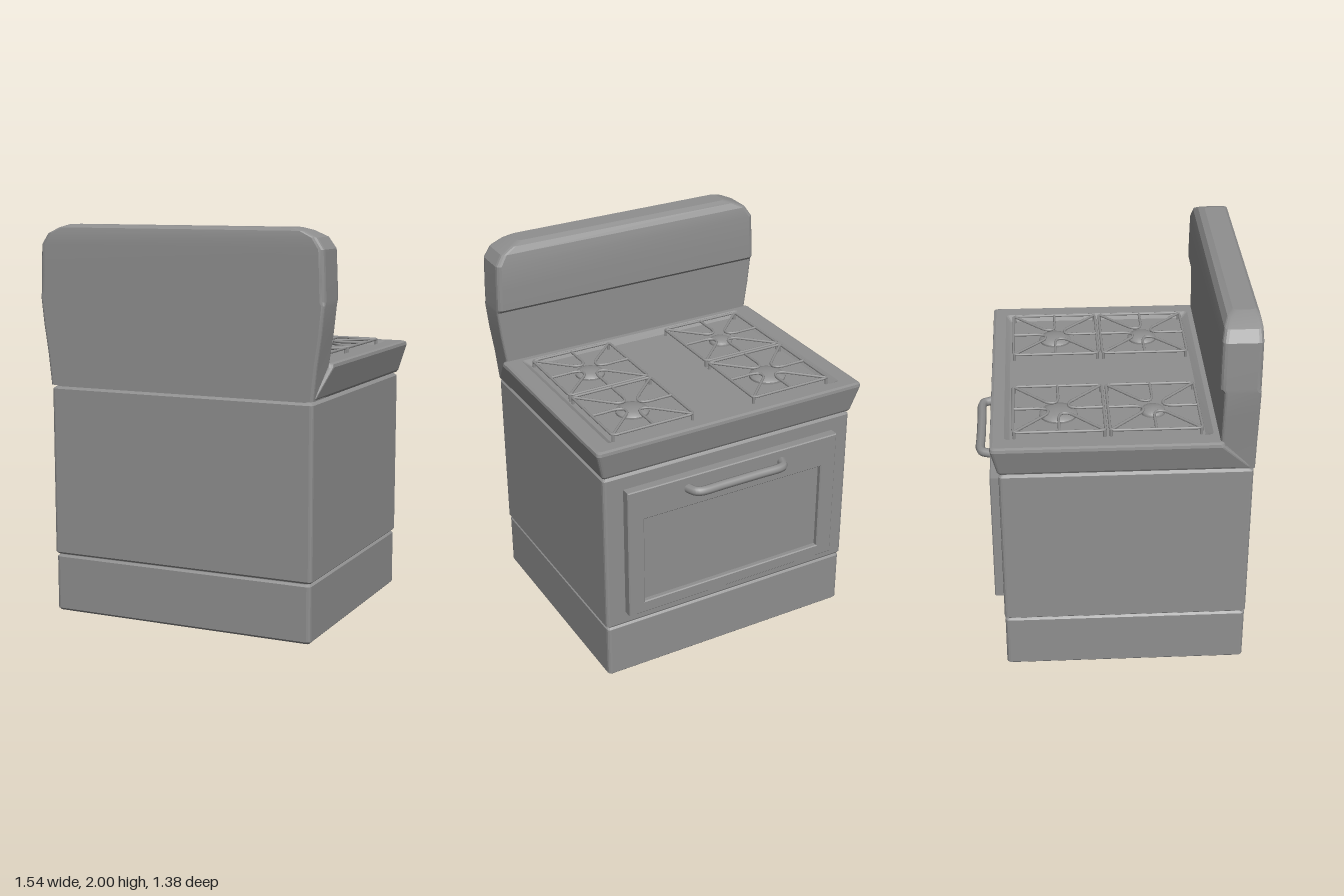
import * as THREE from 'three';
import { mergeGeometries, toCreasedNormals } from 'three/addons/utils/BufferGeometryUtils.js';

const enamel = new THREE.MeshStandardMaterial({ color: 0x8f8f8f });

function add(parent, name, geometry) {
  const mesh = new THREE.Mesh(geometry, enamel);
  mesh.name = name;
  parent.add(mesh);
  return mesh;
}

// Stack of rounded rectangles: each row is [y, half width, z min, z max, corner radius]
function loft(rows) {
  const seg = 3, n = 4 * (seg + 1), pos = [], idx = [];
  for (const [y, w, z0, z1, r] of rows) {
    for (let c = 0; c < 4; c++) {
      const cx = (c === 0 || c === 3 ? 1 : -1) * (w - r);
      const cz = c < 2 ? z1 - r : z0 + r;
      for (let s = 0; s <= seg; s++) {
        const a = (c + s / seg) * Math.PI / 2;
        pos.push(cx + r * Math.cos(a), y, cz + r * Math.sin(a));
      }
    }
  }
  for (let i = 0; i < rows.length - 1; i++) {
    for (let j = 0; j < n; j++) {
      const a = i * n + j, b = i * n + (j + 1) % n;
      idx.push(a, a + n, b, b, a + n, b + n);
    }
  }
  // Caps
  const last = (rows.length - 1) * n;
  for (let j = 1; j < n - 1; j++) {
    idx.push(0, j, j + 1, last, last + j + 1, last + j);
  }
  const g = new THREE.BufferGeometry();
  g.setAttribute('position', new THREE.Float32BufferAttribute(pos, 3));
  g.setIndex(idx);
  return toCreasedNormals(g, 0.21);
}

function rectPath(path, x, y0, y1) {
  path.moveTo(-x, y0);
  path.lineTo(x, y0);
  path.lineTo(x, y1);
  path.lineTo(-x, y1);
  path.closePath();
  return path;
}

function tube(points, radius, segments, closed = false) {
  const curve = new THREE.CatmullRomCurve3(points.map(p => new THREE.Vector3(...p)), closed, 'centripetal');
  return new THREE.TubeGeometry(curve, segments, radius, 8, closed);
}

// Square wire grate with four hairpin fingers and corner feet
function grateGeometry() {
  const h = 0.225, k = h - 0.015, parts = [];
  const frame = [];
  const corners = [[1, 1], [-1, 1], [-1, -1], [1, -1]];
  corners.forEach(([x, z], i) => {
    const a = [x * h, 0, z * k], b = [x * k, 0, z * h];
    const a2 = [x * h, 0, z * k * 0.9], b2 = [x * k * 0.9, 0, z * h];
    frame.push(...(i % 2 ? [b2, b, a, a2] : [a2, a, b, b2]));
    const foot = new THREE.CylinderGeometry(0.008, 0.008, 0.04, 8);
    foot.translate(x * (h - 0.005), -0.018, z * (h - 0.005));
    parts.push(foot);
  });
  parts.push(tube(frame, 0.007, 96, true));
  for (let i = 0; i < 4; i++) {
    const finger = tube([
      [0, 0, -h], [0, 0, -0.15], [0, 0, -0.09], [-0.015, 0, -0.055],
      [-0.05, 0, -0.055], [-0.085, 0, -0.085], [-0.15, 0, -0.15], [-h + 0.005, 0, -h + 0.005],
    ], 0.007, 36);
    finger.rotateY(i * Math.PI / 2);
    parts.push(finger);
  }
  return mergeGeometries(parts);
}

export function createModel() {
  const stove = new THREE.Group();
  stove.name = 'stove';

  // Plinth, oven body and the recessed seams above them
  add(stove, 'plinth', loft([
    [0, 0.698, -0.548, 0.668, 0.012], [0.012, 0.71, -0.56, 0.68, 0.02],
    [0.287, 0.71, -0.56, 0.68, 0.02], [0.297, 0.7, -0.55, 0.67, 0.02],
  ]));
  add(stove, 'plinthSeam', loft([
    [0.29, 0.695, -0.545, 0.665, 0.02], [0.312, 0.695, -0.545, 0.665, 0.02],
  ]));
  add(stove, 'ovenBody', loft([
    [0.302, 0.705, -0.555, 0.675, 0.015], [0.312, 0.716, -0.563, 0.683, 0.018],
    [1.168, 0.716, -0.563, 0.683, 0.018], [1.182, 0.7, -0.548, 0.668, 0.018],
  ]));
  add(stove, 'cooktopSeam', loft([
    [1.17, 0.695, -0.545, 0.67, 0.02], [1.2, 0.695, -0.545, 0.67, 0.02],
  ]));

  // Flared cooktop whose sides taper back into the backsplash and whose rim turns down into a tray
  add(stove, 'cooktop', loft([
    [1.188, 0.715, -0.563, 0.68, 0.015], [1.2, 0.722, -0.57, 0.668, 0.015],
    [1.335, 0.758, -0.6, 0.535, 0.02], [1.35, 0.755, -0.598, 0.528, 0.02],
    [1.356, 0.742, -0.585, 0.522, 0.02], [1.356, 0.665, -0.53, 0.485, 0.02],
    [1.332, 0.63, -0.505, 0.45, 0.015],
  ]));

  // Backsplash with overhanging upper panel
  add(stove, 'backsplash', loft([
    [1.188, 0.718, 0.511, 0.688, 0.015], [1.35, 0.735, 0.511, 0.688, 0.015],
    [1.5, 0.757, 0.511, 0.688, 0.015], [1.64, 0.772, 0.511, 0.688, 0.015],
    [1.658, 0.772, 0.492, 0.688, 0.025], [1.76, 0.77, 0.492, 0.688, 0.025],
    [1.9, 0.764, 0.494, 0.688, 0.025], [1.955, 0.728, 0.505, 0.686, 0.025],
    [1.985, 0.665, 0.525, 0.68, 0.025], [2.0, 0.615, 0.555, 0.665, 0.025],
  ]));

  // Oven door: frame around a sunken panel
  const door = new THREE.Group();
  door.name = 'ovenDoor';
  stove.add(door);
  const shape = rectPath(new THREE.Shape(), 0.605, 0.38, 1.095);
  shape.holes.push(rectPath(new THREE.Path(), 0.525, 0.435, 0.935));
  const frame = new THREE.ExtrudeGeometry(shape, {
    depth: 0.045, bevelThickness: 0.005, bevelSize: 0.005, bevelSegments: 1,
  });
  add(door, 'doorFrame', frame).position.z = -0.606;
  add(door, 'doorPanel', new THREE.BoxGeometry(1.08, 0.53, 0.03)).position.set(0, 0.685, -0.57);

  // Door handle with angled ends
  const handle = [[-0.274, -0.605], [-0.266, -0.628], [-0.252, -0.655], [-0.228, -0.666], [-0.1, -0.666]];
  const half = handle.map(([x, z]) => [x, 1.035, z]);
  const mirrored = half.map(([x, y, z]) => [-x, y, z]).reverse();
  add(door, 'doorHandle', tube([...half, ...mirrored], 0.024, 64));

  // Four burners, each with a cap and a grate
  const grate = grateGeometry();
  const burners = [[-0.397, -0.262, 0.095], [0.397, -0.262, 0.085], [-0.397, 0.21, 0.062], [0.397, 0.21, 0.077]];
  for (const [x, z, r] of burners) {
    const burner = new THREE.Group();
    burner.name = 'burner';
    burner.position.set(x, 0, z);
    stove.add(burner);
    const profile = [[r, 1.325], [r, 1.342], [r * 0.92, 1.35], [r * 0.6, 1.359], [0, 1.363]];
    const cap = new THREE.LatheGeometry(profile.map(p => new THREE.Vector2(...p)), 24);
    add(burner, 'burnerCap', toCreasedNormals(cap, 0.6));
    add(burner, 'grate', grate).position.y = 1.368;
  }
  return stove;
}
